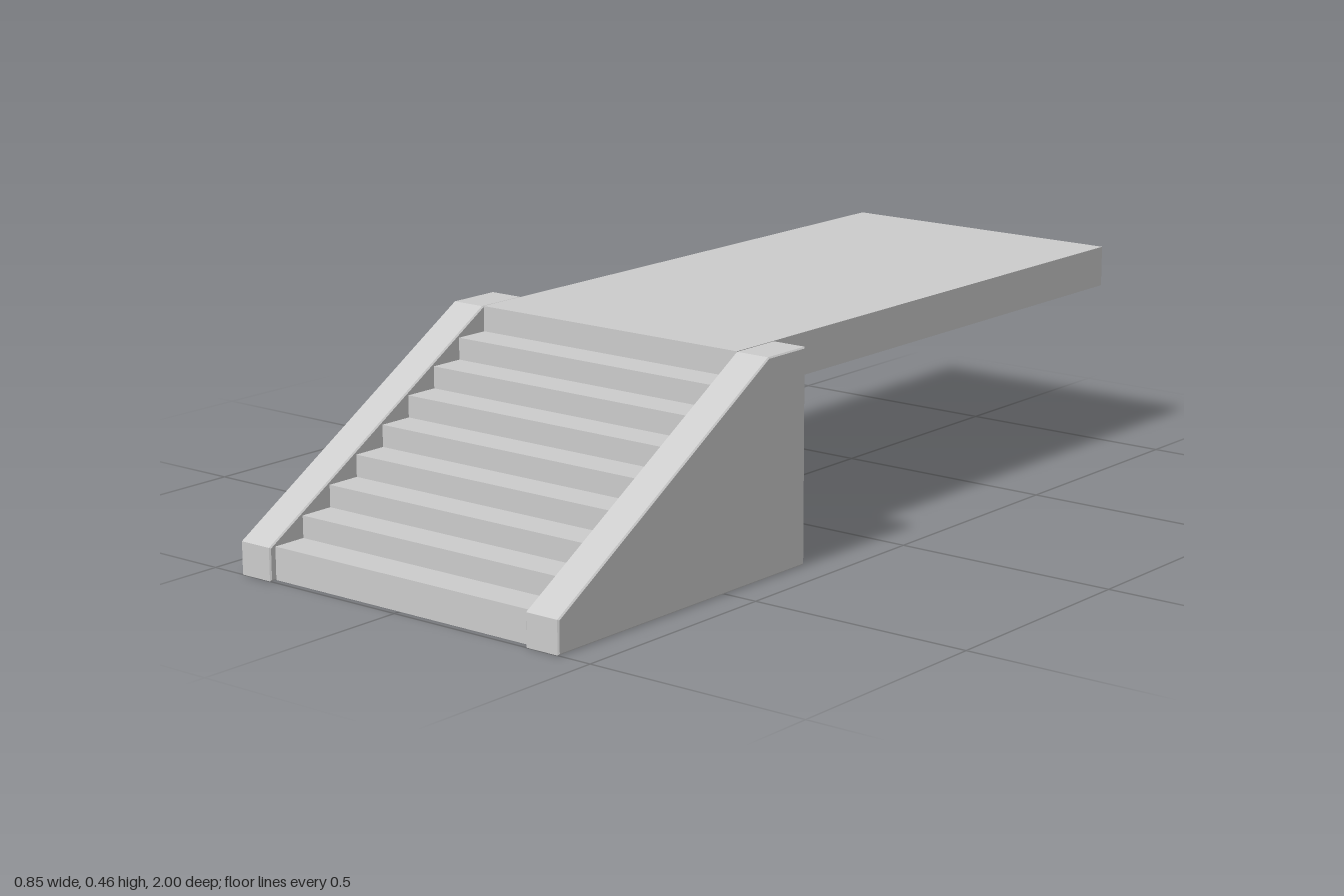
import * as THREE from 'three';

const solid = new THREE.MeshStandardMaterial({ color: 0xcccccc, flatShading: true });
const sheet = new THREE.MeshStandardMaterial({ color: 0xcccccc, flatShading: true, side: THREE.DoubleSide });

const HALF = 0.34;                    // half width of deck and stairs
const TOP = 0.455, DECK_UNDER = 0.365;
const DECK_FRONT = 0.357, STAIR_FRONT = 0.985;
const STEPS = 8, FIRST_RISE = 0.07, RISE = 0.0472;

function named(geometry, material, name) {
  const mesh = new THREE.Mesh(geometry, material);
  mesh.name = name;
  return mesh;
}

// Deck: a shallow box, open underneath
function createDeck() {
  const length = DECK_FRONT + 1, height = TOP - DECK_UNDER;
  const geo = new THREE.BoxGeometry(2 * HALF, height, length);
  const index = Array.from(geo.index.array);
  index.splice(18, 6); // remove the bottom face
  geo.setIndex(index);
  geo.clearGroups();
  geo.translate(0, DECK_UNDER + height / 2, DECK_FRONT - length / 2);
  return named(geo, sheet, 'deck');
}

// Stairs: thin risers and treads
function createStairs() {
  const stairs = new THREE.Group();
  stairs.name = 'stairs';
  const run = (STAIR_FRONT - DECK_FRONT) / STEPS;
  let y = 0;
  for (let i = 0; i < STEPS; i++) {
    const rise = i === 0 ? FIRST_RISE : RISE;
    const z = STAIR_FRONT - i * run;
    const riser = new THREE.PlaneGeometry(2 * HALF, rise).translate(0, y + rise / 2, z);
    y += rise;
    const tread = new THREE.PlaneGeometry(2 * HALF, run).rotateX(-Math.PI / 2).translate(0, y, z - run / 2);
    stairs.add(named(riser, sheet, 'riser'), named(tread, sheet, 'tread'));
  }
  return stairs;
}

// Side wall: sloped slab with a fine bevel
function createSideWall(side) {
  const bevel = 0.003, width = 0.083;
  const profile = [[1, 0], [0.24, 0], [0.24, TOP], [0.36, TOP], [1, 0.07]];
  const shape = new THREE.Shape(profile.map(([z, y]) => new THREE.Vector2(-z, y)));
  const geo = new THREE.ExtrudeGeometry(shape, {
    depth: width - 2 * bevel, bevelEnabled: true, bevelSegments: 1,
    bevelSize: bevel, bevelThickness: bevel, bevelOffset: -bevel,
  });
  geo.rotateY(Math.PI / 2);
  geo.translate(side > 0 ? HALF + bevel : -HALF - width + bevel, 0, 0);
  return named(geo, solid, side > 0 ? 'leftSideWall' : 'rightSideWall');
}

export function createModel() {
  const model = new THREE.Group();
  model.name = 'stairsWithDeck';
  model.add(createDeck(), createStairs(), createSideWall(1), createSideWall(-1));
  return model;
}
